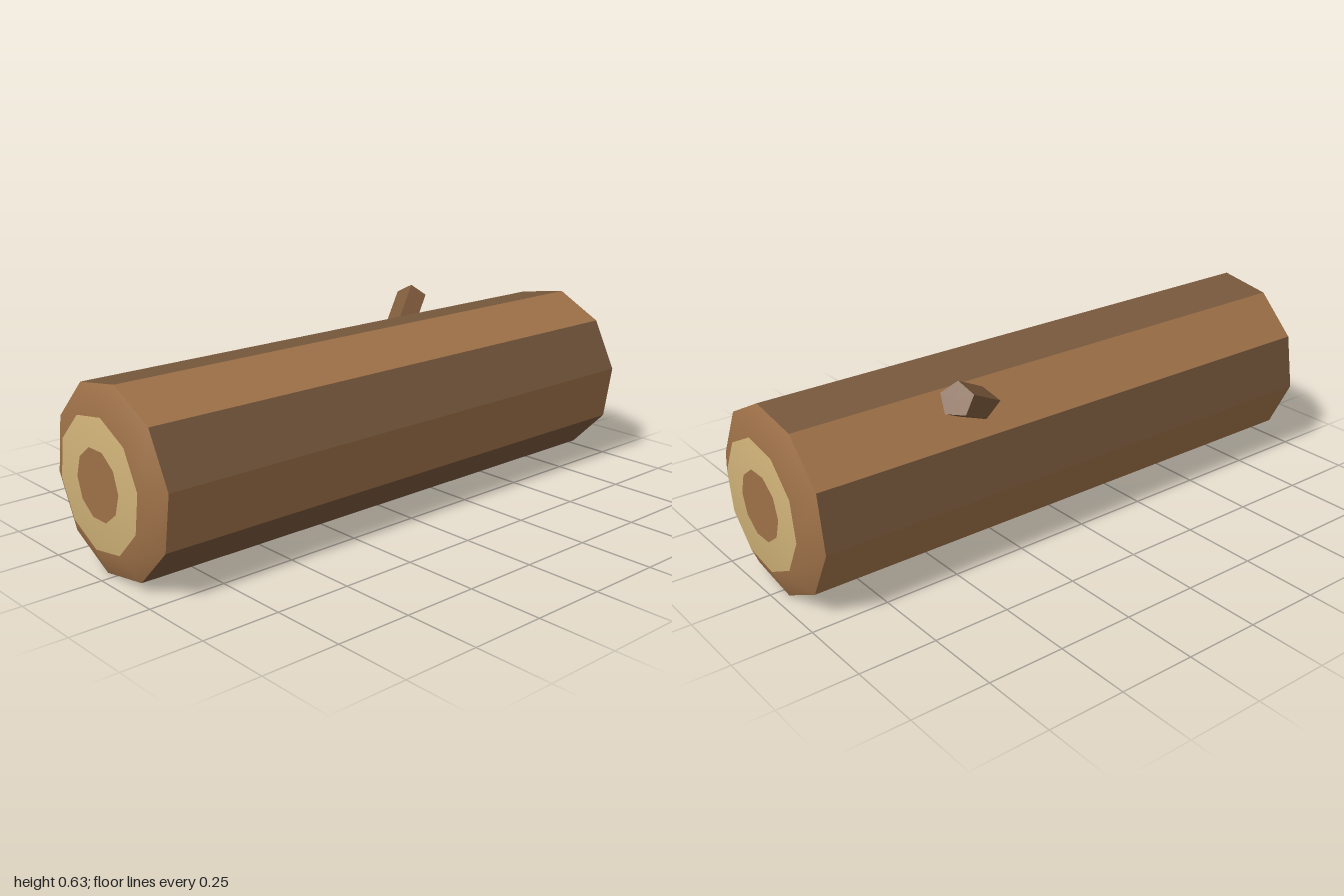
import * as THREE from 'three';

const SIDES = 10;
const RADIUS = 0.2986, FACE_RADIUS = 0.208, CORE_RADIUS = 0.11;
const BARK_END = 0.957, LOG_END = 1;
const CENTRE_Y = 0.296, CENTRE_Z = 0.01;
const TURN = THREE.MathUtils.degToRad(-81);

const colour = (name, hex) => {
  const m = new THREE.MeshStandardMaterial({ color: hex });
  m.name = name;
  return m;
};

// Faceted copy of a geometry: one normal per face
function faceted(geometry) {
  const g = geometry.toNonIndexed();
  g.computeVertexNormals();
  return g;
}

export function createModel() {
  const lightBark = colour('lightBark', 0x9e7148);
  const darkBark = colour('darkBark', 0x77583c);
  const paleWood = colour('paleWood', 0xd0b278);
  const twig = colour('branchBark', 0x7d5a3b);

  const model = new THREE.Group();
  model.name = 'log';
  const add = (name, geometry, material, parent = model) => {
    const mesh = new THREE.Mesh(geometry, material);
    mesh.name = name;
    parent.add(mesh);
    return mesh;
  };

  const trunk = new THREE.Group();
  trunk.name = 'trunk';
  trunk.position.set(0, CENTRE_Y, CENTRE_Z);
  model.add(trunk);

  // Bark: ten flat strips in two alternating browns
  const bark = faceted(new THREE.CylinderGeometry(
    RADIUS, RADIUS, BARK_END * 2, SIDES, 1, true, TURN));
  bark.clearGroups();
  for (let i = 0; i < SIDES; i++) bark.addGroup(i * 6, 6, i % 2);
  bark.rotateZ(-Math.PI / 2);
  add('bark', bark, [lightBark, darkBark], trunk);

  // Cut ends: softly shaded bevel and pale face, with a heartwood disc
  for (const side of [1, -1]) {
    const end = new THREE.LatheGeometry([
      new THREE.Vector2(RADIUS, BARK_END),
      new THREE.Vector2(FACE_RADIUS, LOG_END - 0.002),
      new THREE.Vector2(0, LOG_END - 0.002),
    ], SIDES, TURN * side);
    for (let i = 0; i < SIDES; i++) {
      end.addGroup(i * 12, 6, 0);
      end.addGroup(i * 12 + 6, 6, 1);
    }
    end.rotateZ(-side * Math.PI / 2);
    const label = side > 0 ? 'left' : 'right';
    add(label + 'CutEnd', end, [lightBark, paleWood], trunk);

    const core = new THREE.CircleGeometry(CORE_RADIUS, SIDES);
    core.rotateY(side * Math.PI / 2);
    add(label + 'Heartwood', core, lightBark, trunk).position.x = side * LOG_END;
  }

  // Branch stub: five-sided, slanting up, back and towards the left end
  const length = 0.36;
  const axis = new THREE.Vector3(0.756, 0.446, -0.477).normalize();
  const cross = new THREE.Vector3().crossVectors(axis, new THREE.Vector3(-0.018, 0.048, 0.016)).normalize();
  const corner = new THREE.Vector3().crossVectors(cross, axis);
  const stub = new THREE.CylinderGeometry(0.0545, 0.0545, length, 5);
  stub.translate(0, -length / 2, 0);
  stub.applyMatrix4(new THREE.Matrix4().makeBasis(cross, axis, corner));
  add('branch', faceted(stub), twig).position.set(0.493, 0.585, -0.264);

  return model;
}
